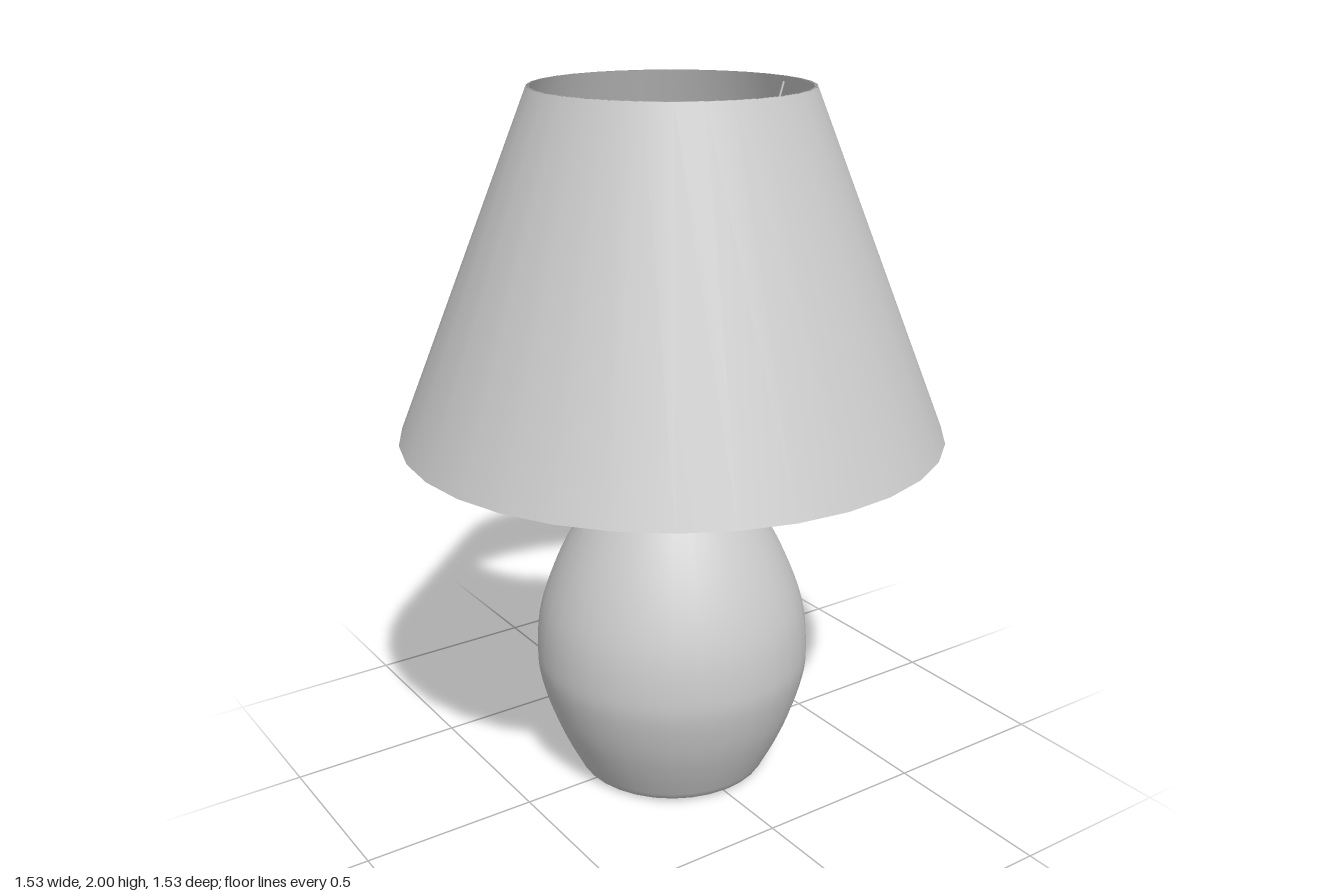
import * as THREE from 'three';
import { toCreasedNormals } from 'three/addons/utils/BufferGeometryUtils.js';

const material = new THREE.MeshStandardMaterial({ color: 0xcccccc });

const vectors = (points) => points.map(([r, y]) => new THREE.Vector2(r, y));

function addMesh(group, name, geometry) {
  const mesh = new THREE.Mesh(geometry, material);
  mesh.name = name;
  group.add(mesh);
  return mesh;
}

// Round part from [radius, height] points, listed from the bottom up
function turned(points, segments = 32) {
  return new THREE.LatheGeometry(vectors(points), segments);
}

// Thin rod between two points
function rod(from, to, radius) {
  return new THREE.TubeGeometry(new THREE.LineCurve3(from, to), 1, radius, 8);
}

export function createModel() {
  const lamp = new THREE.Group();
  lamp.name = 'tableLamp';

  // Vase-shaped body: smooth belly, closed below and above
  const belly = new THREE.SplineCurve(vectors([
    [0.28, 0.01], [0.325, 0.1], [0.366, 0.2], [0.395, 0.31], [0.4, 0.39],
    [0.387, 0.5], [0.352, 0.61], [0.3, 0.72], [0.235, 0.825], [0.145, 0.945],
  ])).getPoints(32).map((p) => [p.x, p.y]);
  addMesh(lamp, 'base', turned([[0, 0], [0.265, 0], ...belly, [0.135, 0.95], [0, 0.95]]));

  // Neck and bulb holder
  const neck = addMesh(lamp, 'neck', new THREE.CylinderGeometry(0.022, 0.022, 0.16, 16));
  neck.position.y = 1.02;
  addMesh(lamp, 'socket', toCreasedNormals(turned([
    [0, 1.06], [0.022, 1.06], [0.07, 1.1], [0.083, 1.115], [0.085, 1.13],
    [0.085, 1.24], [0.075, 1.25], [0, 1.25],
  ]), 0.8));

  // Flange that carries the shade wires
  const flange = addMesh(lamp, 'shadeRing', new THREE.CylinderGeometry(0.118, 0.118, 0.012, 32));
  flange.position.y = 1.205;

  // Bulb
  const bulb = [[0, 1.23], [0.07, 1.23], [0.075, 1.25]];
  for (let i = 0; i <= 10; i++) {
    const a = -0.6 + (i / 10) * (Math.PI / 2 + 0.6);
    bulb.push([0.094 * Math.cos(a), 1.32 + 0.094 * Math.sin(a)]);
  }
  addMesh(lamp, 'bulb', turned(bulb, 24));

  // Two wires from the flange up to the top rim of the shade
  for (const side of [1, -1]) {
    addMesh(lamp, side > 0 ? 'leftShadeWire' : 'rightShadeWire', rod(
      new THREE.Vector3(side * 0.112, 1.207, 0),
      new THREE.Vector3(side * 0.374, 1.985, 0), 0.003));
  }

  // Thin-walled conical shade, open at both ends
  addMesh(lamp, 'shade', turned([
    [0.755, 1.05], [0.763, 1.05], [0.382, 2], [0.374, 2], [0.755, 1.05],
  ]));

  return lamp;
}
